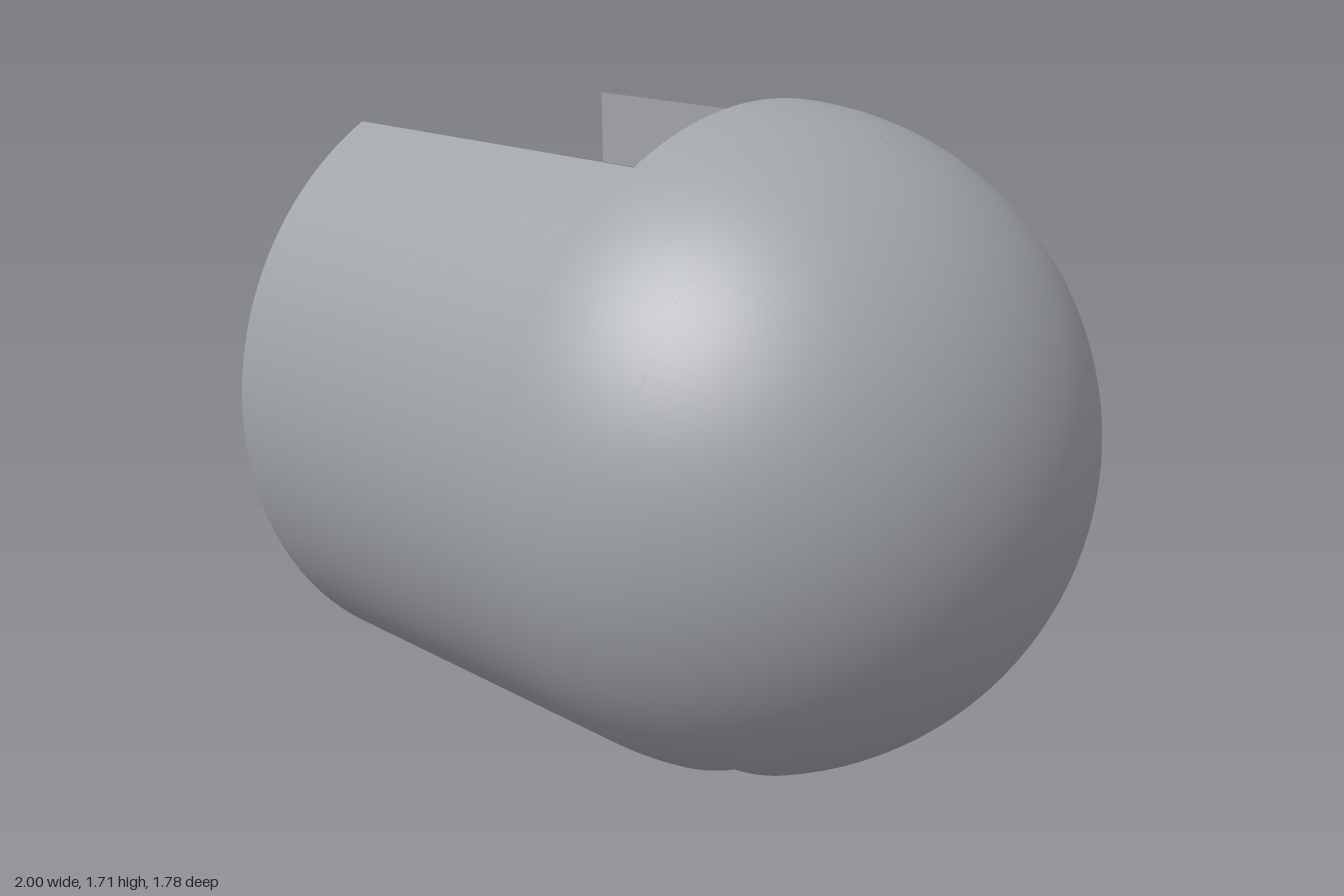
import * as THREE from 'three';

const R = 0.89;          // outer radius of tube and dome
const r = 0.71;          // inner radius of the rims
const W = 0.445;         // half width of the slots
const L = 1.11;          // tube length behind the dome
const D = 0.335;         // how far the lower slot runs into the dome
const leg = (h, a) => Math.sqrt(h * h - a * a);

const grey = new THREE.MeshStandardMaterial({ color: 0xa0a3a8, side: THREE.DoubleSide });
grey.name = 'grey';

// Smooth shell between two x stations; a is the angle round the x axis from the bottom.
function shell(nx, na, station, range) {
  const pos = [], nor = [], idx = [];
  for (let i = 0; i <= nx; i++) {
    const { x, rho } = station(i / nx);
    const [a0, a1] = range(rho);
    for (let j = 0; j <= na; j++) {
      const a = a0 + (a1 - a0) * j / na;
      const y = -rho * Math.cos(a), z = rho * Math.sin(a);
      pos.push(x, y, z);
      nor.push(Math.max(x, 0) / R, y / R, z / R);
      if (i < nx && j < na) {
        const p = i * (na + 1) + j, q = p + na + 1;
        idx.push(p, q, p + 1, q, q + 1, p + 1);
      }
    }
  }
  const g = new THREE.BufferGeometry();
  g.setAttribute('position', new THREE.Float32BufferAttribute(pos, 3));
  g.setAttribute('normal', new THREE.Float32BufferAttribute(nor, 3));
  g.setIndex(idx);
  return g;
}

// Flat ring sector facing along x, centred on angle mid, with its own half angles.
function sector(x, mid, ro, ho, ri, hi) {
  const s = new THREE.Shape();
  s.absarc(0, 0, ro, mid - ho, mid + ho, false);
  s.absarc(0, 0, ri, mid + hi, mid - hi, true);
  return new THREE.ShapeGeometry(s, 48).rotateY(-Math.PI / 2).translate(x, 0, 0);
}

export function createModel() {
  const model = new THREE.Group();
  model.name = 'slottedDomedTube';
  const body = new THREE.Group();
  body.name = 'body';
  body.position.set(0.11, 0.825, 0);
  model.add(body);
  const add = (name, geometry) => {
    const m = new THREE.Mesh(geometry, grey);
    m.name = name;
    body.add(m);
  };

  // Tube walls, one on each side of the slots
  const cut = Math.asin(W / R);
  const tube = t => ({ x: -L + L * t, rho: R });
  add('frontTubeWall', shell(1, 64, tube, () => [cut, Math.PI - cut]));
  add('backTubeWall', shell(1, 64, tube, () => [Math.PI + cut, 2 * Math.PI - cut]));

  // Dome: first the part notched by the lower slot, then the closed cap
  const split = Math.asin(D / R);
  const dome = (t0, t1) => t => {
    const a = t0 + (t1 - t0) * t;
    return { x: R * Math.sin(a), rho: R * Math.cos(a) };
  };
  add('notchedDome', shell(16, 128, dome(0, split), rho => {
    const c = Math.asin(W / rho);
    return [c, 2 * Math.PI - c];
  }));
  add('domeCap', shell(40, 128, dome(split, Math.PI / 2), () => [0, 2 * Math.PI]));

  // Rims at the open end
  const ho = Math.acos(W / R), hi = Math.acos(W / r);
  add('frontRim', sector(-L, 0, R, ho, r, hi));
  add('backRim', sector(-L, Math.PI, R, ho, r, hi));

  // Closed ends of the slots
  add('upperSlotEnd', sector(0, Math.PI / 2, R, Math.asin(W / R), r, Math.asin(W / r)));
  const ro = leg(R, D), ri = leg(r, D);
  add('lowerSlotEnd', sector(D, -Math.PI / 2, ro, Math.asin(W / ro), ri, Math.asin(W / ri)));

  // Slot side faces
  const yo = leg(R, W), yi = leg(r, W);
  for (const [side, z] of [['front', W], ['back', -W]]) {
    add(side + 'UpperSlotFace',
      new THREE.PlaneGeometry(L, yo - yi).translate(-L / 2, (yo + yi) / 2, z));
    const s = new THREE.Shape();
    s.moveTo(-L, -yo);
    s.lineTo(0, -yo);
    s.absarc(0, 0, yo, -Math.PI / 2, -Math.acos(D / yo), false);
    s.absarc(0, 0, yi, -Math.acos(D / yi), -Math.PI / 2, true);
    s.lineTo(-L, -yi);
    s.closePath();
    add(side + 'LowerSlotFace', new THREE.ShapeGeometry(s, 24).translate(0, 0, z));
  }
  return model;
}
